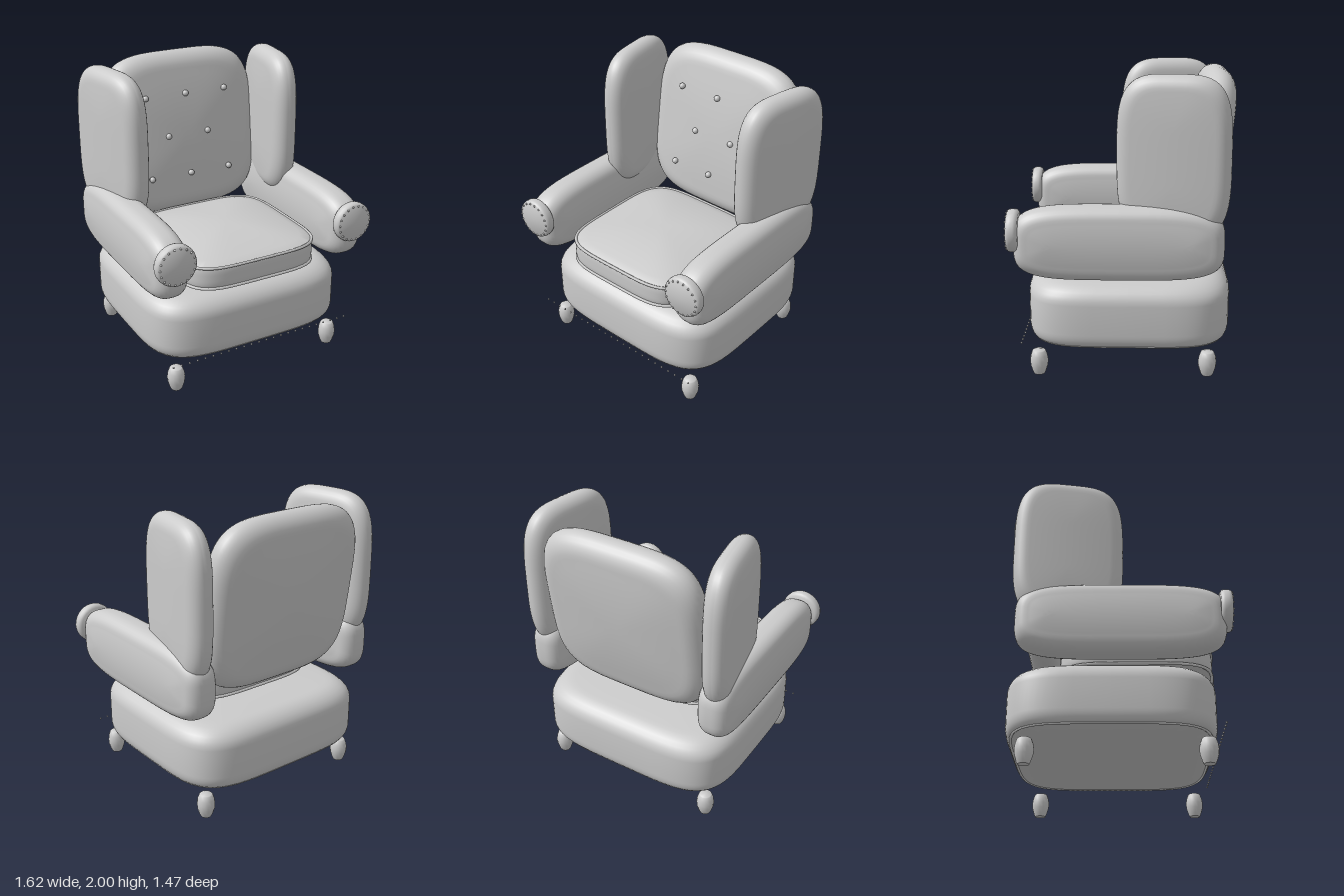
import * as THREE from 'three';
import { toCreasedNormals } from 'three/addons/utils/BufferGeometryUtils.js';

const material = new THREE.MeshStandardMaterial({ color: 0xcccccc });
const SIDES = 72;

// Squared-off oval in the XY plane, counter-clockwise
function outline(a, b, n) {
  const bend = v => Math.sign(v) * Math.pow(Math.abs(v), 2 / n);
  return Array.from({ length: SIDES }, (_, i) => {
    const t = (i / SIDES) * Math.PI * 2;
    return [a * bend(Math.cos(t)), b * bend(Math.sin(t))];
  });
}

// Half profile as [inset, height]: straight side, rounded edge, crowned face
function halfProfile({ side, inset, rise, crown }, middle) {
  const pts = [];
  for (let i = 0; i <= 7; i++) {
    const t = (i / 7) * Math.PI / 2;
    pts.push([inset * (1 - Math.cos(t)), side + rise * Math.sin(t)]);
  }
  for (let i = 1; i <= 8; i++) {
    const k = i / 8;
    pts.push([inset + (middle - inset) * k, side + rise + crown * (1 - (1 - k) ** 2)]);
  }
  return pts;
}

// Upholstered pad: outline in XY, thickness along Z
function padGeometry(a, b, n, front, back = front) {
  const m = Math.min(a, b);
  const lower = halfProfile(back, m).map(([i, h]) => [i, -h]).reverse();
  const rings = [...lower, ...halfProfile(front, m)];
  const pos = [], index = [];
  rings.forEach(([inset, h], j) => {
    for (const [x, y] of outline(a - inset, b - inset, n)) pos.push(x, y, h);
    if (j === 0) return;
    for (let i = 0; i < SIDES; i++) {
      const p = (j - 1) * SIDES + i, q = (j - 1) * SIDES + (i + 1) % SIDES;
      index.push(p, q, q + SIDES, p, q + SIDES, p + SIDES);
    }
  });
  const g = new THREE.BufferGeometry();
  g.setAttribute('position', new THREE.Float32BufferAttribute(pos, 3));
  g.setIndex(index);
  return toCreasedNormals(g, 0.8);
}

function add(parent, name, geometry, x = 0, y = 0, z = 0) {
  const mesh = new THREE.Mesh(geometry, material);
  mesh.name = name;
  mesh.position.set(x, y, z);
  parent.add(mesh);
  return mesh;
}

// Horizontal welt cord following a cushion edge
function pipingGeometry(a, b, n, r) {
  const pts = outline(a, b, n).map(([x, z]) => new THREE.Vector3(x, 0, z));
  return new THREE.TubeGeometry(new THREE.CatmullRomCurve3(pts, true), 120, r, 6, true);
}

function lathe(points, segments) {
  const g = new THREE.LatheGeometry(points.map(p => new THREE.Vector2(...p)), segments);
  return toCreasedNormals(g, 0.8);
}

export function createModel() {
  const chair = new THREE.Group();
  chair.name = 'wingArmchair';

  // Base
  const base = padGeometry(0.74, 0.685, 4.6,
    { side: 0.1, inset: 0.15, rise: 0.13, crown: 0.02 },
    { side: 0.1, inset: 0.035, rise: 0.085, crown: 0.065 });
  add(chair, 'base', base.rotateX(-Math.PI / 2), 0, 0.42, -0.025);
  add(chair, 'basePiping', pipingGeometry(0.705, 0.65, 4.6, 0.009), 0, 0.235, -0.025);

  // Seat cushion with piping on both edges
  const seat = padGeometry(0.505, 0.515, 4.6,
    { side: 0.02, inset: 0.01, rise: 0.055, crown: 0.07 },
    { side: 0.02, inset: 0.01, rise: 0.055, crown: 0.06 });
  add(chair, 'seatCushion', seat.rotateX(-Math.PI / 2), 0, 0.795, 0.14);
  for (const y of [0.72, 0.868])
    add(chair, 'seatPiping', pipingGeometry(0.502, 0.512, 4.6, 0.011), 0, y, 0.14);

  // Reclined back with tufting buttons
  const back = new THREE.Group();
  back.name = 'back';
  back.position.set(0, 1.41, -0.545);
  back.rotation.x = -0.135;
  chair.add(back);
  add(back, 'backCushion', padGeometry(0.6, 0.59, 4,
    { side: 0, inset: 0.13, rise: 0.115, crown: 0.03 }));
  const button = new THREE.SphereGeometry(0.022, 14, 10);
  for (const [y, xs] of [[0.285, [-0.315, 0, 0.315]], [-0.01, [-0.158, 0.158]], [-0.305, [-0.315, 0, 0.315]]])
    for (const x of xs) add(back, 'button', button, x, y, 0.143);

  // Shared geometry of the mirrored side parts
  const wing = padGeometry(0.365, 0.52, 3.7,
    { side: 0.005, inset: 0.1, rise: 0.085, crown: 0.012 }).rotateY(Math.PI / 2);
  const arm = padGeometry(0.675, 0.245, 4,
    { side: 0.02, inset: 0.09, rise: 0.095, crown: 0.015 }).rotateY(Math.PI / 2);
  const disc = lathe([[0, 0], [0.12, 0], [0.135, 0.01], [0.14, 0.025], [0.14, 0.052],
    [0.135, 0.068], [0.125, 0.075], [0, 0.075]], 28).rotateX(Math.PI / 2);
  const leg = lathe([[0, 0], [0.036, 0], [0.045, 0.018], [0.058, 0.06], [0.061, 0.095],
    [0.056, 0.13], [0.045, 0.16], [0.04, 0.165], [0, 0.165]], 16);
  const nail = new THREE.SphereGeometry(0.007, 8, 6);

  for (const s of [-1, 1]) {
    // Wing, turned inward at the front
    add(chair, 'wing', wing, s * 0.63, 1.48, -0.31).rotation.y = -s * 0.17;

    // Arm with nailed front disc
    add(chair, 'arm', arm, s * 0.665, 0.935, 0.035);
    add(chair, 'armDisc', disc, s * 0.668, 1.01, 0.67);
    for (let i = 0; i < 18; i++) {
      const t = (i / 18) * Math.PI * 2;
      add(chair, 'armNail', nail, s * 0.668 + 0.122 * Math.cos(t), 1.01 + 0.122 * Math.sin(t), 0.746);
    }

    // Legs
    for (const z of [0.57, -0.55]) add(chair, 'leg', leg, s * 0.612, 0.005, z);
  }

  // Row of nails along the front
  for (let i = 0; i < 24; i++)
    add(chair, 'frontNail', nail, -0.68 + i * 1.36 / 23, 0.246, 0.675);

  chair.position.y = -0.005;
  const model = new THREE.Group();
  model.name = 'armchair';
  model.add(chair);
  return model;
}
